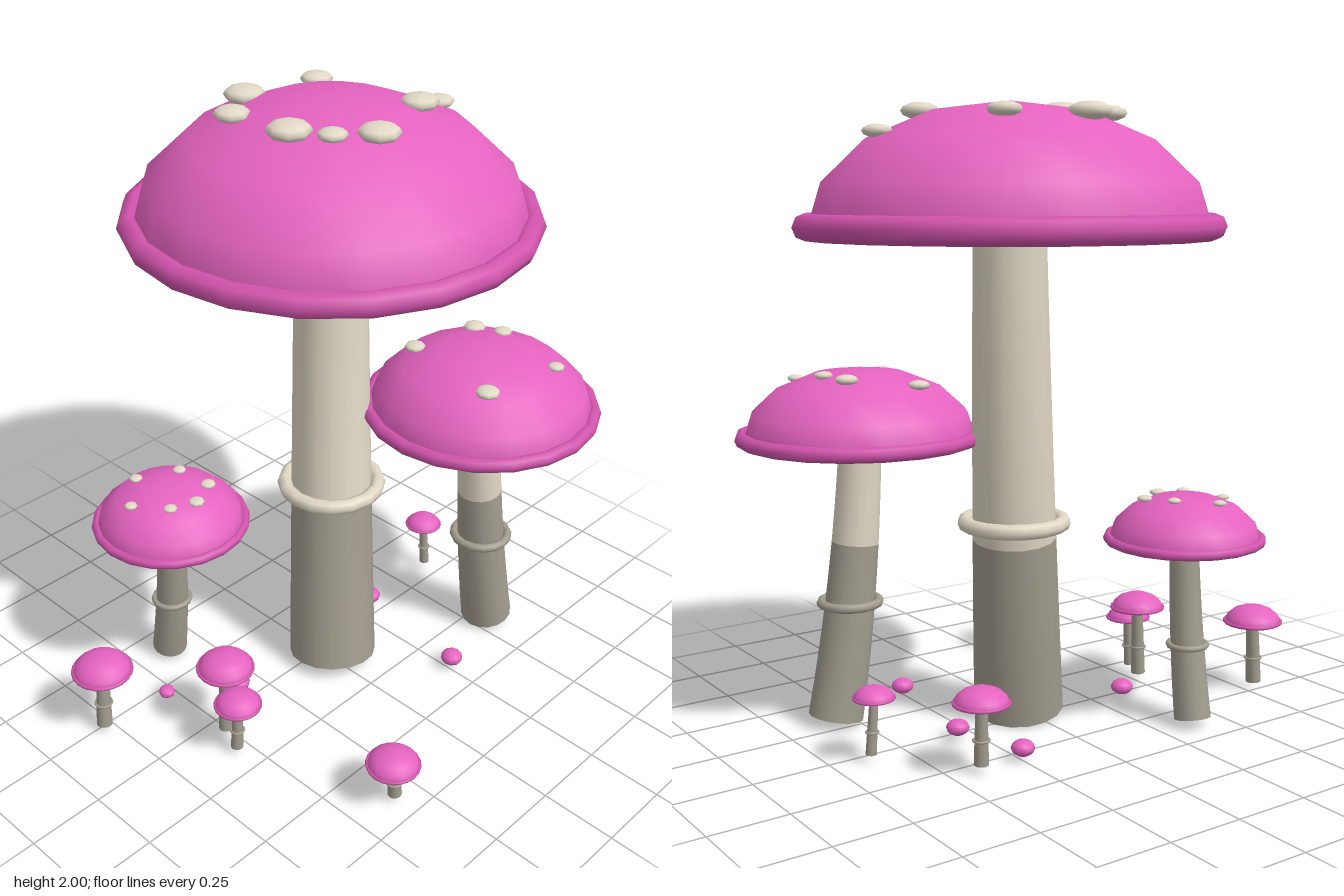
import * as THREE from 'three';

const mat = (name, color, side = THREE.FrontSide) => {
  const m = new THREE.MeshStandardMaterial({ color, side });
  m.name = name;
  return m;
};

export function createModel() {
  const pink = mat('cap pink', 0xe563c0);
  const rimPink = mat('rim pink', 0xd254ad);
  const gill = mat('gill mauve', 0xdc96c6);
  const cream = mat('stem cream', 0xe1d8c6, THREE.DoubleSide);
  const grey = mat('stem grey', 0xa39d8f, THREE.DoubleSide);

  const model = new THREE.Group();
  model.name = 'mushroomCluster';

  const add = (parent, name, geo, material, pos = [0, 0, 0]) => {
    const mesh = new THREE.Mesh(geo, material);
    mesh.name = name;
    mesh.position.set(...pos);
    parent.add(mesh);
    return mesh;
  };

  // Local frame (x, tangent, z) at t on a stem curve
  const frameAt = (curve, t) => {
    const y = curve.getTangent(t);
    const x = new THREE.Vector3(1, 0, 0).addScaledVector(y, -y.x).normalize();
    return new THREE.Matrix4()
      .makeBasis(x, y, x.clone().cross(y))
      .setPosition(curve.getPoint(t));
  };

  // Tapered cylinder bent along the part t0..t1 of a curve
  const bentStem = (curve, r0, r1, t0, t1, sides, rows) => {
    const at = (t) => r0 + (r1 - r0) * t;
    const geo = new THREE.CylinderGeometry(at(t1), at(t0), 1, sides, rows);
    const p = geo.attributes.position, n = geo.attributes.normal;
    const v = new THREE.Vector3();
    for (let i = 0; i < p.count; i++) {
      const frame = frameAt(curve, t0 + (t1 - t0) * (p.getY(i) + 0.5));
      v.set(p.getX(i), 0, p.getZ(i)).applyMatrix4(frame);
      p.setXYZ(i, v.x, v.y, v.z);
      v.fromBufferAttribute(n, i).transformDirection(frame);
      n.setXYZ(i, v.x, v.y, v.z);
    }
    return geo;
  };

  // t at which a rising curve reaches a height
  const tAtHeight = (curve, y) => {
    let lo = 0, hi = 1;
    for (let i = 0; i < 24; i++) {
      const mid = (lo + hi) / 2;
      if (curve.getPoint(mid).y < y) lo = mid; else hi = mid;
    }
    return lo;
  };

  // foot, bend, top: stem curve; the cap sits on top
  const mushroom = (name, o) => {
    const g = new THREE.Group();
    g.name = name;
    model.add(g);
    const { foot, top, capR, capH, tube, r0, r1 } = o;
    const bend = o.bend || foot.map((c, i) => (c + top[i]) / 2);
    const curve = new THREE.QuadraticBezierCurve3(
      ...[foot, bend, top].map((p) => new THREE.Vector3(...p)));

    // Stem, darker below the split height
    const split = o.split ? tAtHeight(curve, o.split) : 1;
    add(g, 'lowerStem', bentStem(curve, r0, r1, 0, split, 16, 6), grey);
    if (split < 1) add(g, 'upperStem', bentStem(curve, r0, r1, split, 1, 16, 6), cream);

    // Ring around the stem
    const tr = tAtHeight(curve, o.ringY);
    const ring = new THREE.TorusGeometry(o.ringR, o.ringTube, 8, 16).rotateX(Math.PI / 2);
    add(g, 'stemRing', ring, o.ringY > 0.6 ? cream : grey, curve.getPoint(tr).toArray());

    // Cap: dome, rolled rim and flat underside
    const dome = new THREE.SphereGeometry(capR, 20, 4, 0, Math.PI * 2, 0, Math.PI / 2);
    add(g, 'capDome', dome.scale(1, capH / capR, 1), pink, top);
    const rim = new THREE.TorusGeometry(capR, tube, 8, 20).rotateX(Math.PI / 2);
    add(g, 'capRim', rim, rimPink, [top[0], top[1] + tube * 0.5, top[2]]);
    add(g, 'capUnderside', new THREE.CircleGeometry(capR, 20).rotateX(Math.PI / 2), gill, top);

    // Flattened warts resting on the dome
    for (const [x, z, r] of o.spots || []) {
      const d = Math.hypot(x - top[0], z - top[2]) / capR;
      const y = top[1] + capH * Math.sqrt(1 - d * d) + r * 0.15;
      add(g, 'capSpot', new THREE.SphereGeometry(r, 8, 6).scale(1, 0.42, 1), cream, [x, y, z]);
    }
  };

  mushroom('tallMushroom', {
    foot: [0.02, 0.033, 0.045], bend: [0.114, 0.8, -0.058], top: [0.145, 1.6, -0.092],
    r0: 0.15, r1: 0.115, split: 0.63, ringY: 0.68, ringR: 0.158, ringTube: 0.025,
    capR: 0.623, capH: 0.395, tube: 0.04,
    spots: [[0.065, -0.385, 0.067], [-0.085, -0.28, 0.058], [0.325, -0.33, 0.053],
      [-0.095, -0.03, 0.07], [-0.03, 0.08, 0.047], [0.08, 0.16, 0.066],
      [0.365, 0.065, 0.061], [0.56, -0.02, 0.048]],
  });
  mushroom('middleMushroom', {
    foot: [0.567, 0.033, 0.302], bend: [0.487, 0.47, 0.295], top: [0.467, 0.942, 0.288],
    r0: 0.09, r1: 0.068, split: 0.605, ringY: 0.41, ringR: 0.094, ringTube: 0.015,
    capR: 0.373, capH: 0.232, tube: 0.024,
    spots: [[0.59, 0.49, 0.028], [0.3, 0.44, 0.04], [0.61, 0.255, 0.031],
      [0.58, 0.16, 0.038], [0.37, 0.08, 0.036]],
  });
  mushroom('shortMushroom', {
    foot: [-0.37, 0.033, -0.385], bend: [-0.38, 0.31, -0.33], top: [-0.383, 0.61, -0.316],
    r0: 0.06, r1: 0.047, split: 0.58, ringY: 0.27, ringR: 0.061, ringTube: 0.01,
    capR: 0.247, capH: 0.155, tube: 0.016,
    spots: [[-0.53, -0.335, 0.022], [-0.425, -0.435, 0.023], [-0.46, -0.22, 0.023],
      [-0.375, -0.19, 0.027], [-0.28, -0.24, 0.026], [-0.3, -0.36, 0.023]],
  });

  // Young mushrooms: cap x, y, z, cap radius, foot offset in x and z
  for (const [x, y, z, r, dx, dz] of [
    [-0.77, 0.25, -0.24, 0.102, -0.015, 0.005],
    [-0.5, 0.275, 0.06, 0.096, -0.015, 0.01],
    [-0.54, 0.207, 0.16, 0.079, -0.01, 0],
    [-0.355, 0.162, 0.665, 0.088, 0.01, 0.002],
    [0.41, 0.227, -0.325, 0.09, -0.005, 0.01],
    [0.625, 0.21, -0.06, 0.067, 0.01, 0.005],
  ]) {
    mushroom('youngMushroom', {
      foot: [x + dx, 0.033, z + dz], top: [x, y, z], r0: r * 0.26, r1: r * 0.2,
      ringY: 0.033 + (y - 0.033) * 0.4, ringR: r * 0.27, ringTube: 0.004,
      capR: r * 0.94, capH: r * 0.58, tube: r * 0.06,
    });
  }

  // Buds on the ground: x, z, radius
  for (const [x, z, r] of [
    [-0.345, -0.05, 0.038], [-0.55, -0.19, 0.028], [0.265, 0.39, 0.038],
    [0.25, -0.31, 0.038], [0.32, -0.05, 0.038], [-0.03, -0.02, 0.036],
  ]) {
    add(model, 'bud', new THREE.SphereGeometry(r, 10, 6).scale(1, 0.68, 1), pink, [x, 0.048, z]);
  }

  return model;
}
